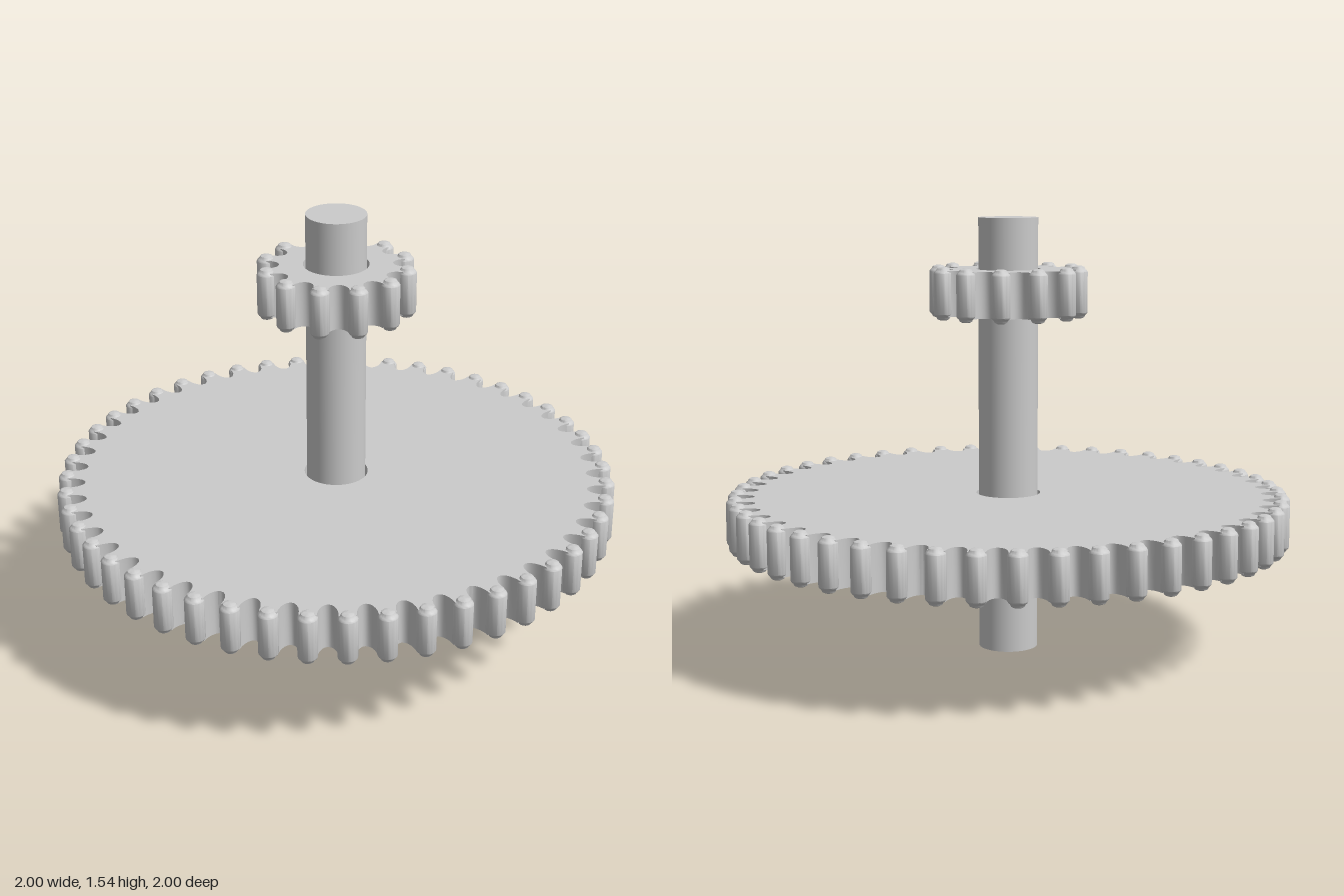
import * as THREE from 'three';
import { toCreasedNormals } from 'three/addons/utils/BufferGeometryUtils.js';

const material = new THREE.MeshStandardMaterial({ color: 0xcccccc });
const HOLE = 0.114, PLATE = 0.16, PIN_R = 0.033, PIN_H = 0.184;

// Toothed plate: for every pin a tooth, with a rounded hollow between teeth
function plateGeometry(teeth, pinCircle, root) {
  const shape = new THREE.Shape();
  const step = (Math.PI * 2) / teeth;
  const gap = pinCircle * Math.sin(step / 2) - PIN_R + 0.004; // half width of a hollow
  const depth = pinCircle * Math.cos(step / 2) - root;
  for (let i = 0; i < teeth; i++) {
    const mid = (i + 0.5) * step;
    const c = Math.cos(mid), s = Math.sin(mid);
    const tip = i * step;
    const point = (x, y) => shape[i === 0 && shape.curves.length === 0 && !started ? 'moveTo' : 'lineTo'](x, y);
    let started = i > 0;
    point(pinCircle * Math.cos(tip), pinCircle * Math.sin(tip));
    started = true;
    for (let k = 0; k <= 10; k++) {
      const a = (Math.PI * k) / 10;
      const r = root + depth * (1 - Math.sin(a));
      const t = -gap * Math.cos(a);
      point(r * c - t * s, r * s + t * c);
    }
  }
  shape.closePath();
  const hole = new THREE.Path();
  hole.absarc(0, 0, HOLE, 0, Math.PI * 2, true);
  shape.holes.push(hole);
  const geo = new THREE.ExtrudeGeometry(shape, { depth: PLATE, bevelEnabled: false, curveSegments: 32 });
  geo.rotateX(-Math.PI / 2).translate(0, -PLATE / 2, 0);
  return toCreasedNormals(geo, 0.6);
}

// Round pin with a stepped, softened cap at both ends
function pinGeometry() {
  const h = PIN_H / 2;
  const cap = [[0, h], [0.012, h], [0.021, h - 0.004], [0.025, h - 0.012], [0.029, h - 0.015], [PIN_R, h - 0.021]];
  const top = cap.map(([r, y]) => new THREE.Vector2(r, y));
  const bottom = cap.map(([r, y]) => new THREE.Vector2(r, -y));
  const profile = [...bottom, ...top.reverse()];
  return toCreasedNormals(new THREE.LatheGeometry(profile, 16), 0.6);
}

function gear(name, teeth, pinCircle, root, y) {
  const group = new THREE.Group();
  group.name = name;
  const plate = new THREE.Mesh(plateGeometry(teeth, pinCircle, root), material);
  plate.name = name + 'Plate';
  group.add(plate);
  const pinGeo = pinGeometry();
  for (let i = 0; i < teeth; i++) {
    const a = (i / teeth) * Math.PI * 2;
    const pin = new THREE.Mesh(pinGeo, material);
    pin.name = name + 'ToothTip';
    pin.position.set(pinCircle * Math.cos(a), 0, pinCircle * Math.sin(a));
    group.add(pin);
  }
  group.position.y = y;
  return group;
}

export function createModel() {
  const model = new THREE.Group();
  model.name = 'gearShaft';

  // Shaft through both gears
  const shaft = new THREE.Mesh(new THREE.CylinderGeometry(0.105, 0.105, 1.54, 48), material);
  shaft.name = 'shaft';
  shaft.position.y = 0.77;
  model.add(shaft);

  // Large gear low on the shaft, small pinion near the top
  model.add(gear('largeGear', 48, 0.967, 0.9, 0.482));
  model.add(gear('smallGear', 12, 0.247, 0.195, 1.28));
  return model;
}
